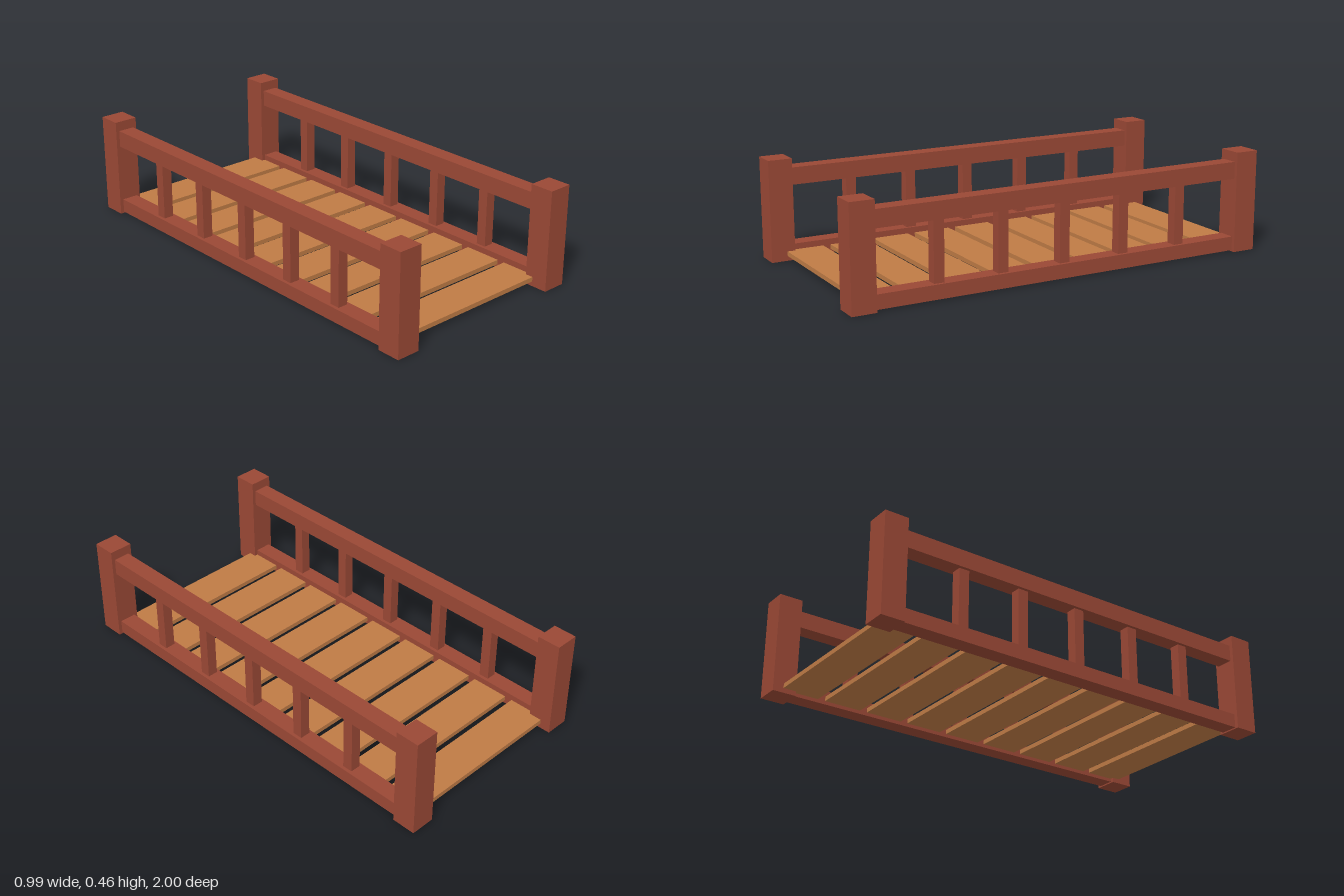
import * as THREE from 'three';

export function createModel() {
  const bridge = new THREE.Group();
  bridge.name = 'footbridge';

  const redWood = new THREE.MeshStandardMaterial({ name: 'red wood', color: 0x9a4835 });
  const plankWood = new THREE.MeshStandardMaterial({ name: 'plank wood', color: 0xbf7b45 });

  // Box standing with its underside at y
  function addBox(parent, name, material, [w, h, d], [x, y, z]) {
    const mesh = new THREE.Mesh(new THREE.BoxGeometry(w, h, d), material);
    mesh.name = name;
    mesh.position.set(x, y + h / 2, z);
    parent.add(mesh);
  }

  // Railings, one on each side
  for (const side of [1, -1]) {
    const railing = new THREE.Group();
    railing.name = side > 0 ? 'leftRailing' : 'rightRailing';
    const x = side * 0.439;

    for (const end of [1, -1]) {
      addBox(railing, end > 0 ? 'frontPost' : 'backPost', redWood, [0.112, 0.463, 0.11], [x, 0, end * 0.945]);
    }
    addBox(railing, 'handrail', redWood, [0.078, 0.078, 1.8], [x, 0.34, 0]);
    addBox(railing, 'bottomRail', redWood, [0.078, 0.064, 1.8], [x, 0.006, 0]);
    for (let i = -2; i <= 2; i++) {
      addBox(railing, 'baluster', redWood, [0.048, 0.29, 0.048], [x, 0.06, i * 0.299]);
    }
    bridge.add(railing);
  }

  // Deck planks with even gaps
  const deck = new THREE.Group();
  deck.name = 'deck';
  for (let i = 0; i < 9; i++) {
    addBox(deck, 'plank', plankWood, [0.81, 0.021, 0.177], [0, 0.022, -0.862 + i * 0.2125]);
  }
  bridge.add(deck);

  return bridge;
}
